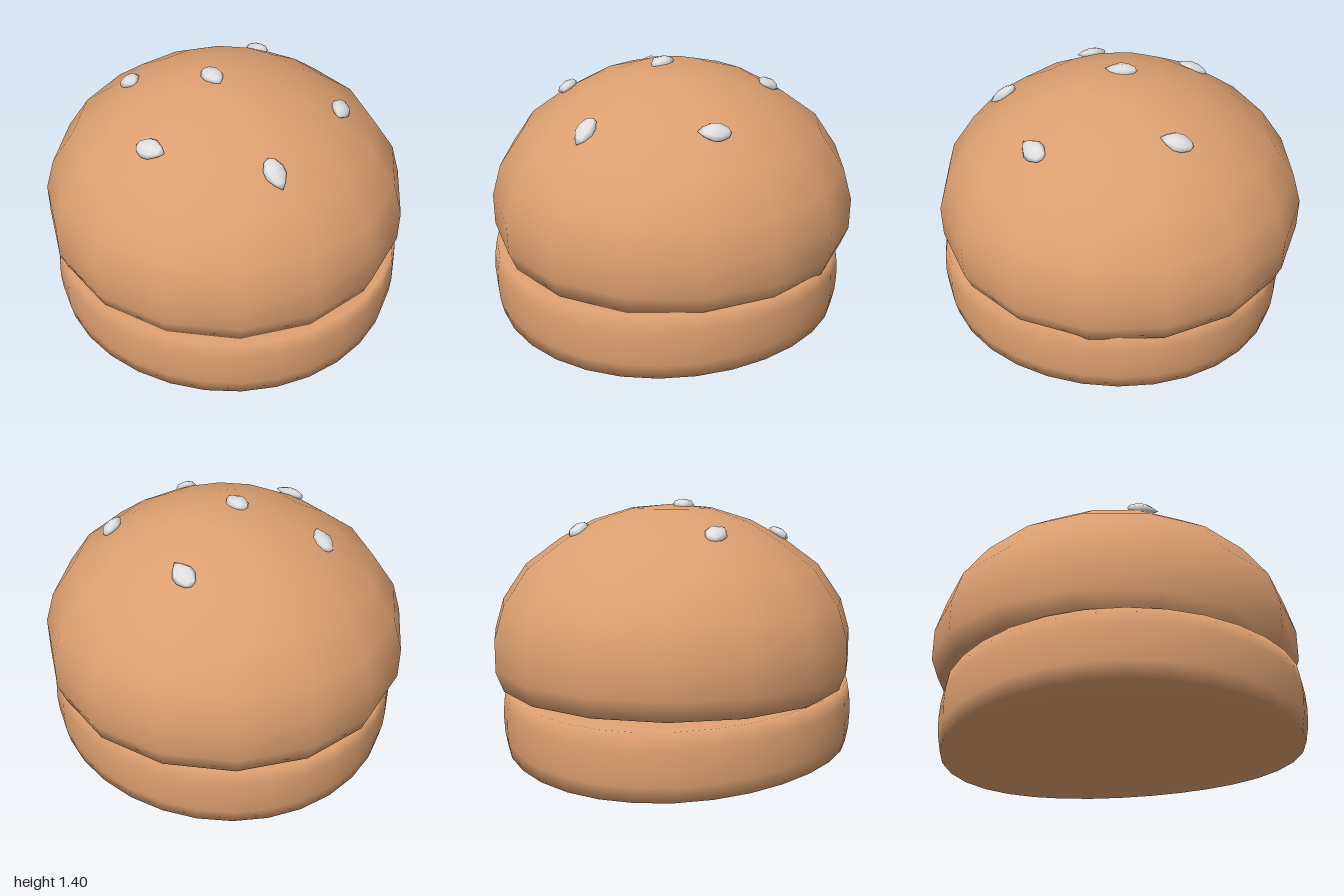
import * as THREE from 'three';
import { mergeVertices } from 'three/addons/utils/BufferGeometryUtils.js';

// Closed, seamless, smooth turned shape; optional rule moves each vertex.
function turned(profile, segments, rule) {
  let geo = new THREE.LatheGeometry(profile.map(([r, y]) => new THREE.Vector2(r, y)), segments);
  geo.deleteAttribute('uv');
  geo.deleteAttribute('normal');
  geo = mergeVertices(geo, 1e-4);
  const p = geo.attributes.position;
  if (rule) for (let i = 0; i < p.count; i++) p.setY(i, p.getY(i) + rule(p.getX(i), p.getZ(i)));
  geo.computeVertexNormals();
  return geo;
}

export function createModel() {
  const group = new THREE.Group();
  const bread = new THREE.MeshStandardMaterial({ color: 0xdb9e6f });
  bread.name = 'bread';
  const seedWhite = new THREE.MeshStandardMaterial({ color: 0xdedede });
  seedWhite.name = 'seedWhite';

  const add = (name, geo, mat) => {
    const mesh = new THREE.Mesh(geo, mat);
    mesh.name = name;
    group.add(mesh);
    return mesh;
  };

  // Domed upper bun
  const top = add('topBun', turned([
    [0, 0.41], [0.6, 0.41], [0.94, 0.415], [0.98, 0.52], [0.98, 0.69], [0.93, 0.86],
    [0.8, 1.05], [0.61, 1.19], [0.43, 1.29], [0.22, 1.355], [0, 1.375],
  ], 16), bread);
  top.scale.z = 1.01;
  top.position.z = -0.01;

  // Lower bun, sagging along its middle and toward the back
  const base = add('bottomBun', turned([
    [0, 0.09], [0.5, 0.09], [0.945, 0.09], [0.96, 0.17], [0.965, 0.26],
    [0.96, 0.35], [0.945, 0.435], [0.5, 0.435], [0, 0.435],
  ], 32, (x, z) => -0.055 + 0.032 * z + 0.058 * x * x), bread);
  base.position.set(-0.01, 0, 0.035);

  // Seed: flattened low-poly drop, pointed toward +z
  const seedGeo = turned([
    [0, -0.082], [0.032, -0.065], [0.054, -0.025], [0.055, 0.015], [0.03, 0.058], [0, 0.09],
  ], 8);
  seedGeo.rotateX(Math.PI / 2);
  seedGeo.scale(1, 0.55, 1);
  seedGeo.computeVertexNormals();

  // Seeds lie on the dome: x, z and the direction of the tip
  const seeds = [
    [-0.07, -0.01, 0, 1], [-0.39, -0.355, 0, 1], [0.385, -0.355, 0, 1],
    [-0.53, 0.235, 0.5, 0.8], [0.5, 0.335, -0.75, 0.7], [-0.06, 0.635, 0, 1],
  ];
  for (const [x, z, dx, dz] of seeds) {
    const y = 0.55 + 0.825 * Math.sqrt(1 - (x * x + z * z) / 0.96);
    const up = new THREE.Vector3(x / 0.96, (y - 0.55) / 0.68, z / 0.96).normalize();
    const tip = new THREE.Vector3(dx, 0, dz).projectOnPlane(up).normalize();
    const side = new THREE.Vector3().crossVectors(up, tip);
    const seed = add('seed', seedGeo, seedWhite);
    seed.quaternion.setFromRotationMatrix(new THREE.Matrix4().makeBasis(side, up, tip));
    seed.position.set(x, y, z);
  }
  return group;
}
